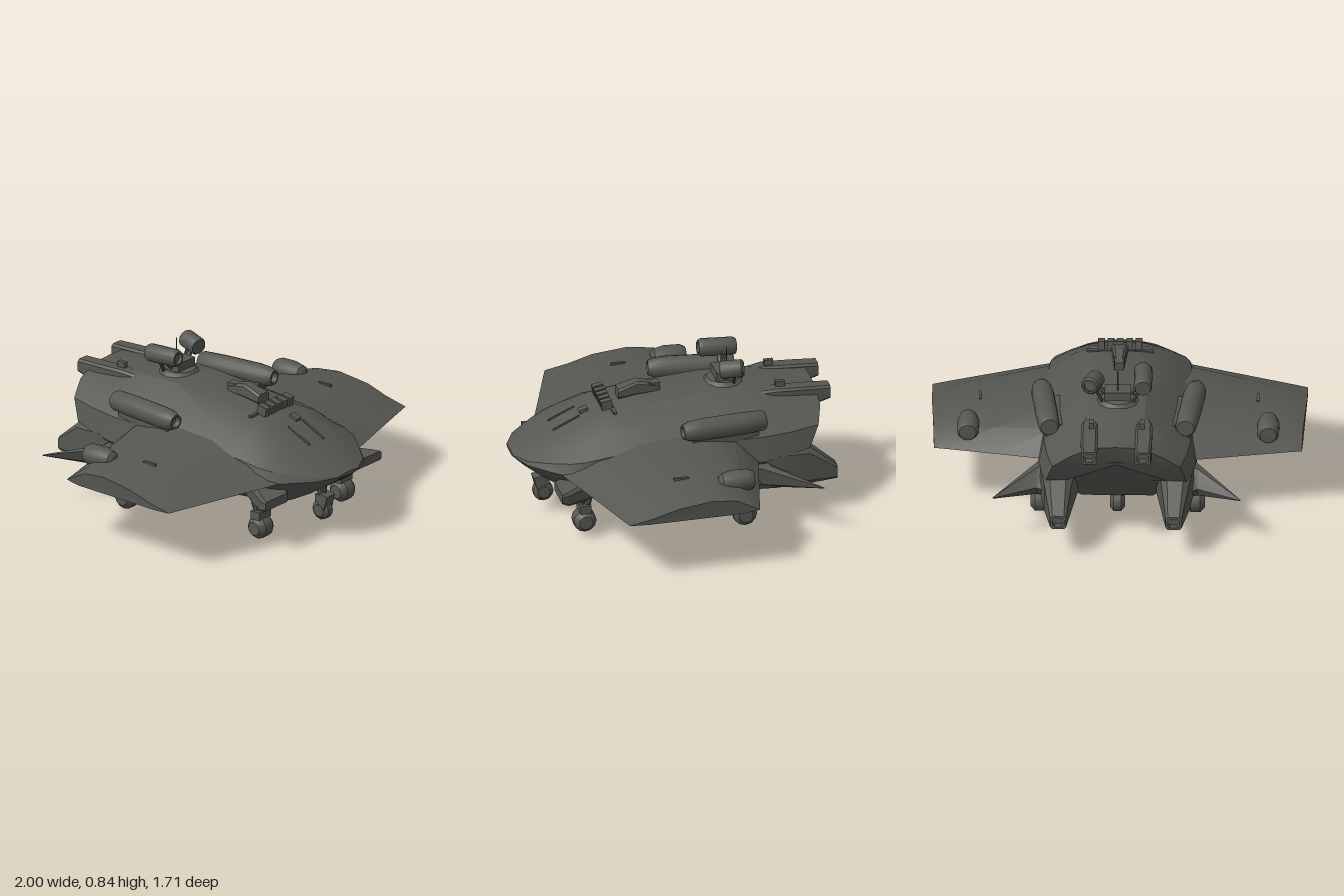
import * as THREE from 'three';
import { toCreasedNormals } from 'three/addons/utils/BufferGeometryUtils.js';

const hullGrey = new THREE.MeshStandardMaterial({ color: 0x565652 });
hullGrey.name = 'hull grey';

const V = (x, y, z) => new THREE.Vector3(x, y, z);

// Skins a list of closed [x, y, z] loops, caps both ends and turns the faces outward.
function loft(loops, crease = 0.45) {
  const n = loops[0].length, pos = loops.flat(2), idx = [];
  for (let i = 0; i < loops.length - 1; i++)
    for (let j = 0; j < n; j++) {
      const a = i * n + j, b = i * n + (j + 1) % n;
      idx.push(a, b, b + n, a, b + n, a + n);
    }
  for (const [k, loop] of [[0, loops[0]], [loops.length - 1, loops.at(-1)]]) {
    const c = pos.length / 3;
    for (let q = 0; q < 3; q++) pos.push(loop.reduce((s, p) => s + p[q], 0) / n);
    for (let j = 0; j < n; j++) {
      const a = k * n + j, b = k * n + (j + 1) % n;
      k ? idx.push(a, b, c) : idx.push(b, a, c);
    }
  }
  let volume = 0;
  const at = i => V(pos[3 * i], pos[3 * i + 1], pos[3 * i + 2]);
  for (let i = 0; i < idx.length; i += 3) volume += at(idx[i]).dot(at(idx[i + 1]).cross(at(idx[i + 2])));
  if (volume < 0) idx.reverse();
  const g = new THREE.BufferGeometry();
  g.setAttribute('position', new THREE.Float32BufferAttribute(pos, 3));
  g.setIndex(idx);
  return toCreasedNormals(g, crease);
}

// Rectangular loop with clipped corners, at depth z.
function frame(z, x0, x1, y0, y1, c = 0.012) {
  return [[x0 + c, y0], [x1 - c, y0], [x1, y0 + c], [x1, y1 - c], [x1 - c, y1], [x0 + c, y1], [x0, y1 - c], [x0, y0 + c]]
    .map(([x, y]) => [x, y, z]);
}

// Loop of [z, y] points at a given x.
const rib = (x, pts) => pts.map(([z, y]) => [x, y, z]);
const flip = (loops, s) => loops.map(l => l.map(([x, y, z]) => [s * x, y, z]));

export function createModel() {
  const model = new THREE.Group();
  model.name = 'dropship';
  const add = (name, geo) => {
    const m = new THREE.Mesh(geo, hullGrey);
    m.name = name;
    model.add(m);
    return m;
  };
  const box = (name, w, h, d, x, y, z, rx = 0) => {
    const m = add(name, new THREE.BoxGeometry(w, h, d));
    m.position.set(x, y, z);
    m.rotation.x = rx;
    return m;
  };
  // Turned solid running from a to b; profile is [radius, fraction of length].
  const turned = (name, a, b, profile, sides = 12) => {
    const len = a.distanceTo(b);
    const g = new THREE.LatheGeometry(profile.map(([r, t]) => new THREE.Vector2(r, t * len)), sides);
    const m = add(name, toCreasedNormals(g, 0.6));
    m.position.copy(a);
    m.quaternion.setFromUnitVectors(V(0, 1, 0), b.clone().sub(a).normalize());
    return m;
  };
  const rod = (name, a, b, r) => turned(name, a, b, [[0, 0], [r, 0], [r, 1], [0, 1]], 8);

  // Hull: full loop from the top centre, the right half and the bottom centre
  const ring = (top, half, bottom) => [top, ...half, bottom, ...half.map(([x, y, z]) => [-x, y, z]).reverse()];
  // Stations of [z, half width, top, chine, bottom]
  const section = ([z, w, t, c, b]) => ring([0, t, z], [
    [0.35 * w, t - 0.03 * (t - c), z], [0.68 * w, c + 0.72 * (t - c), z], [0.93 * w, c + 0.42 * (t - c), z],
    [w, c, z], [0.72 * w, b + 0.34 * (c - b), z], [0.45 * w, b, z]], [0, b, z]);
  const hull = [
    [0.855, 0.08, 0.375, 0.365, 0.355], [0.8, 0.2, 0.405, 0.36, 0.315], [0.7, 0.295, 0.452, 0.355, 0.25],
    [0.6, 0.375, 0.505, 0.35, 0.2], [0.53, 0.4, 0.54, 0.345, 0.175], [0.4, 0.41, 0.6, 0.34, 0.155], [0.18, 0.42, 0.635, 0.34, 0.143],
    [-0.2, 0.42, 0.668, 0.34, 0.145], [-0.45, 0.42, 0.665, 0.35, 0.158], [-0.6, 0.4, 0.65, 0.37, 0.33],
  ].map(section);
  // Stern: the belly ramps up under an overhanging deck and the flanks cut forward
  const stern = ring([0, 0.635, -0.785],
    [[0.13, 0.63, -0.785], [0.25, 0.575, -0.785], [0.34, 0.5, -0.755], [0.375, 0.385, -0.7], [0.27, 0.38, -0.69], [0.17, 0.5, -0.745]],
    [0, 0.54, -0.77]);
  add('hull', loft([...hull, stern]));

  for (const s of [1, -1]) {
    const side = s > 0 ? 'left' : 'right';

    // Wing: flat underside, domed top and sharp low edges
    add(side + 'Wing', loft(flip([
      rib(0.32, [[0.655, 0.352], [0.48, 0.435], [0.2, 0.5], [-0.1, 0.52], [-0.3, 0.48], [-0.43, 0.355], [-0.3, 0.34], [0.4, 0.34]]),
      rib(0.66, [[0.542, 0.343], [0.4, 0.4], [0.18, 0.455], [-0.08, 0.472], [-0.24, 0.445], [-0.355, 0.35], [-0.25, 0.335], [0.38, 0.335]]),
      rib(0.92, [[0.457, 0.335], [0.34, 0.372], [0.17, 0.42], [-0.05, 0.442], [-0.19, 0.42], [-0.298, 0.345], [-0.2, 0.331], [0.34, 0.33]]),
      [[1, 0.332, 0.43], [1, 0.36, 0.3], [1, 0.4, 0.17], [0.993, 0.425, -0.02], [0.985, 0.41, -0.16],
        [0.98, 0.343, -0.285], [0.983, 0.33, -0.2], [1, 0.328, 0.33]],
    ], s), 0.5));

    // Pod on the wing and small marker block
    turned(side + 'WingPod', V(s * 0.8, 0.44, -0.295), V(s * 0.8, 0.44, -0.1),
      [[0, 0], [0.045, 0.02], [0.058, 0.15], [0.06, 0.6], [0.048, 0.9], [0.03, 0.98], [0, 1]], 14);
    box(side + 'WingBlock', 0.015, 0.02, 0.08, s * 0.74, 0.452, 0.09);

    // Shoulder pod with blunt, angled mouth
    turned(side + 'ShoulderPod', V(s * 0.362, 0.57, -0.455), V(s * 0.415, 0.57, 0.005),
      [[0, 0], [0.046, 0], [0.056, 0.04], [0.06, 0.3], [0.06, 0.78], [0.054, 0.92], [0.04, 1], [0.03, 1], [0.024, 0.94], [0, 0.94]], 16);
    add(side + 'PodFairing', loft(flip([frame(-0.42, 0.25, 0.38, 0.45, 0.57), frame(-0.05, 0.28, 0.42, 0.4, 0.54)], s)));

    // Upper tail boom with hollow end
    add(side + 'UpperBoom', loft(flip([
      frame(-0.45, 0.12, 0.17, 0.52, 0.64), frame(-0.56, 0.1, 0.19, 0.5, 0.655), frame(-0.72, 0.1, 0.19, 0.53, 0.65),
      frame(-0.857, 0.1, 0.185, 0.57, 0.645), frame(-0.857, 0.112, 0.173, 0.582, 0.633), frame(-0.81, 0.112, 0.173, 0.582, 0.633),
    ], s)));
    box(side + 'BoomLug', 0.025, 0.045, 0.05, s * 0.135, 0.663, -0.59);

    // Lower tail engine leg
    add(side + 'LowerEngine', loft(flip([
      frame(-0.32, 0.2, 0.4, 0.165, 0.38, 0.05), frame(-0.52, 0.21, 0.41, 0.162, 0.42, 0.05), frame(-0.7, 0.24, 0.385, 0.168, 0.385, 0.03),
      frame(-0.857, 0.265, 0.35, 0.175, 0.253), frame(-0.857, 0.277, 0.338, 0.187, 0.241), frame(-0.82, 0.277, 0.338, 0.187, 0.241),
    ], s)));

    // Swept spike fin
    add(side + 'TailFin', loft(flip([
      rib(0.35, [[-0.3, 0.34], [-0.45, 0.35], [-0.62, 0.26], [-0.52, 0.18], [-0.38, 0.2]]),
      rib(0.43, [[-0.4, 0.325], [-0.47, 0.33], [-0.57, 0.265], [-0.52, 0.2], [-0.45, 0.22]]),
      rib(0.66, [[-0.708, 0.28], [-0.71, 0.281], [-0.713, 0.278], [-0.712, 0.275], [-0.709, 0.276]]),
    ], s)));

    // Short intake box beside the nose, splayed outward
    add(side + 'Intake', loft(flip([
      frame(0.4, 0.24, 0.32, 0.22, 0.32, 0.02), frame(0.52, 0.25, 0.4, 0.205, 0.32, 0.025),
      frame(0.64, 0.26, 0.475, 0.225, 0.305, 0.015), frame(0.68, 0.3, 0.49, 0.25, 0.3, 0.01),
    ], s)));
  }

  // Landing legs: name, wheel centre, wheel radius, width, attachment point
  const leg = (name, w, r, width, top) => {
    const out = V(width / 2, 0, 0);
    turned(name + 'Wheel', w.clone().sub(out), w.clone().add(out),
      [[0, 0], [r * 0.6, 0], [r, 0.25], [r, 0.75], [r * 0.6, 1], [0, 1]], 12);
    rod(name + 'Strut', w, top, 0.018);
    rod(name + 'Brace', w.clone().add(V(0, 0.03, 0)), top.clone().add(V(0, 0.01, 0.05)), 0.01);
    const yoke = add(name + 'Yoke', new THREE.BoxGeometry(width * 0.8, 0.045, 0.06));
    yoke.position.copy(w).add(V(0, r + 0.01, 0));
  };
  for (const s of [1, -1]) {
    const side = s > 0 ? 'left' : 'right';
    leg(side + 'FrontLeg', V(s * 0.345, 0.086, 0.53), 0.062, 0.12, V(s * 0.37, 0.25, 0.5));
    leg(side + 'RearLeg', V(s * 0.415, 0.065, -0.33), 0.065, 0.1, V(s * 0.4, 0.34, -0.28));
  }
  leg('noseLeg', V(0, 0.115, 0.675), 0.055, 0.075, V(0, 0.28, 0.65));
  box('noseLegDoor', 0.07, 0.13, 0.05, 0, 0.145, 0.69, 0.25);
  leg('tailLeg', V(0, 0.105, -0.41), 0.058, 0.08, V(0, 0.2, -0.34));

  // Roof turret: ring, head, mast and two barrels on arms
  turned('turretRing', V(0, 0.64, -0.31), V(0, 0.69, -0.31), [[0, 0], [0.13, 0], [0.09, 0.8], [0, 1]], 12);
  box('turretHead', 0.14, 0.06, 0.1, 0, 0.7, -0.31);
  rod('mast', V(0, 0.7, -0.33), V(0, 0.845, -0.33), 0.003);
  const barrel = [[0, 0], [0.042, 0], [0.049, 0.08], [0.049, 0.92], [0.04, 1], [0.03, 1], [0.03, 0.9], [0, 0.9]];
  turned('rightBarrel', V(-0.135, 0.785, -0.41), V(-0.135, 0.795, -0.205), barrel, 12);
  turned('leftBarrel', V(0.115, 0.77, -0.27), V(0.15, 0.785, -0.39), barrel, 12);
  for (const s of [1, -1]) {
    rod('turretArm', V(s * 0.05, 0.69, -0.31), V(s * 0.13, 0.77, -0.32), 0.015);
    rod('turretArmBrace', V(s * 0.08, 0.67, -0.35), V(s * 0.13, 0.77, -0.35), 0.009);
  }

  // Roof fittings
  add('roofScoop', loft([frame(0.27, -0.045, 0.045, 0.62, 0.675), frame(0.16, -0.035, 0.035, 0.63, 0.708), frame(0.04, -0.025, 0.025, 0.63, 0.68)]));
  box('roofHatch', 0.05, 0.05, 0.08, 0, 0.665, 0.08);
  for (let i = 0; i < 5; i++) box('sensorBlock', 0.036, 0.05, 0.06, (i - 2) * 0.05, 0.63, 0.35, 0.2);
  box('sensorBar', 0.36, 0.012, 0.02, 0, 0.608, 0.32);
  for (const s of [1, -1]) box('noseRidge', 0.012, 0.012, 0.16, s * 0.06, 0.522, 0.56, 0.44);
  box('noseBlock', 0.04, 0.025, 0.05, 0.03, 0.575, 0.46, 0.4);

  return model;
}
